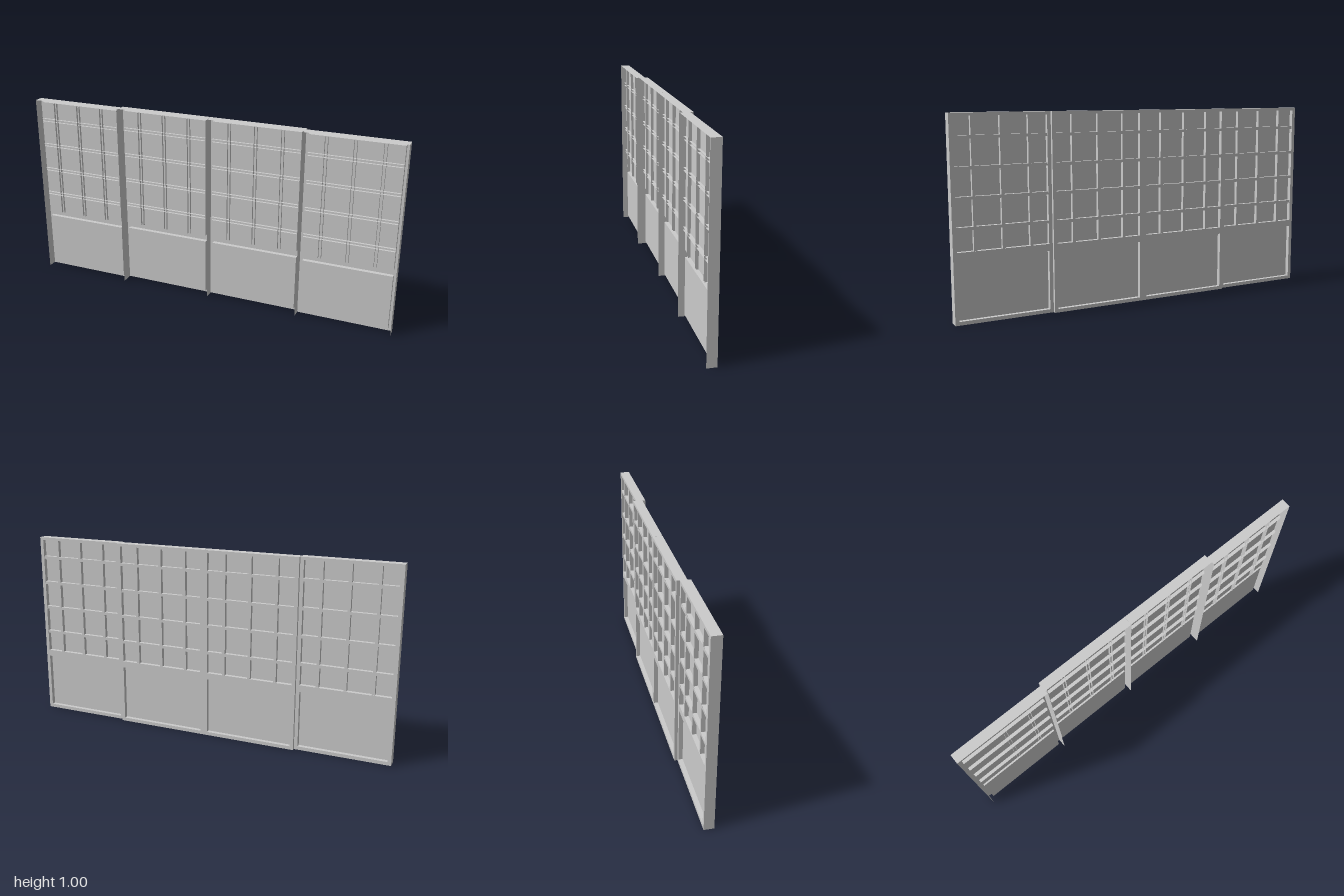
import * as THREE from 'three';

const material = new THREE.MeshStandardMaterial({ color: 0xcccccc, side: THREE.DoubleSide });

const DEPTH = 0.05;      // thickness of one sliding panel
const PANE_Z = 0.022;    // pane distance from the back face
const BAR_W = 0.015;
const BAR_BACK = 0.002;
const BAR_FRONT = 0.034;

function addMesh(parent, name, geometry, x = 0, y = 0, z = 0) {
  const mesh = new THREE.Mesh(geometry, material);
  mesh.name = name;
  mesh.position.set(x, y, z);
  parent.add(mesh);
  return mesh;
}

// Upright sheet in the yz plane, facing +x or -x
function sideWall(parent, name, x, y0, y1, z0, z1, facing) {
  const g = new THREE.PlaneGeometry(z1 - z0, y1 - y0).rotateY(facing * Math.PI / 2);
  addMesh(parent, name, g, x, (y0 + y1) / 2, (z0 + z1) / 2);
}

// Level sheet in the xz plane, facing up or down
function levelWall(parent, name, y, x0, x1, z0, z1, facing) {
  const g = new THREE.PlaneGeometry(x1 - x0, z1 - z0).rotateX(-facing * Math.PI / 2);
  addMesh(parent, name, g, (x0 + x1) / 2, y, (z0 + z1) / 2);
}

// Flat sheet facing the back
function backSheet(parent, name, r, z) {
  const g = new THREE.PlaneGeometry(r.x1 - r.x0, r.y1 - r.y0).rotateY(Math.PI);
  addMesh(parent, name, g, (r.x0 + r.x1) / 2, (r.y0 + r.y1) / 2, z);
}

function rectPath(path, r) {
  path.moveTo(r.x0, r.y0);
  path.lineTo(r.x1, r.y0);
  path.lineTo(r.x1, r.y1);
  path.lineTo(r.x0, r.y1);
  path.closePath();
  return path;
}

// Recessed pane with the four walls of its pocket
function recessedPane(parent, name, r) {
  const pane = new THREE.Group();
  pane.name = name;
  backSheet(pane, name + 'Sheet', r, PANE_Z);
  sideWall(pane, 'pocketSide', r.x0, r.y0, r.y1, 0, PANE_Z, 1);
  sideWall(pane, 'pocketSide', r.x1, r.y0, r.y1, 0, PANE_Z, -1);
  levelWall(pane, 'pocketBottom', r.y0, r.x0, r.x1, 0, PANE_Z, 1);
  levelWall(pane, 'pocketTop', r.y1, r.x0, r.x1, 0, PANE_Z, -1);
  parent.add(pane);
}

// One lattice panel, from its back face at z = 0
function makePanel(width) {
  const panel = new THREE.Group();
  const h = width / 2;
  const outer = { x0: -h, x1: h, y0: 0, y1: 1 };
  const win = { x0: -h + 0.019, x1: h - 0.019, y0: 0.35, y1: 0.985 };
  const low = { x0: win.x0, x1: win.x1, y0: 0.018, y1: 0.315 };

  // Back frame with window and lower opening
  const shape = rectPath(new THREE.Shape(), outer);
  for (const r of [win, low]) shape.holes.push(rectPath(new THREE.Path(), r));
  const frame = new THREE.ShapeGeometry(shape).rotateY(Math.PI);
  addMesh(panel, 'backFrame', frame);

  // Outer rim, open at the front and bottom
  sideWall(panel, 'frameSide', -h, 0, 1, 0, DEPTH, -1);
  sideWall(panel, 'frameSide', h, 0, 1, 0, DEPTH, 1);
  levelWall(panel, 'frameTop', 1, -h, h, 0, DEPTH, 1);

  recessedPane(panel, 'windowPane', win);
  recessedPane(panel, 'lowerPanel', low);

  // Lattice bars, open channels crossing the pane
  const b = BAR_W / 2;
  for (const x of [-0.14, 0, 0.14]) {
    backSheet(panel, 'uprightBar', { x0: x - b, x1: x + b, y0: win.y0, y1: win.y1 }, BAR_BACK);
    for (const s of [-1, 1])
      sideWall(panel, 'uprightBarSide', x + s * b, win.y0, win.y1, BAR_BACK, BAR_FRONT, s);
  }
  for (const y of [0.46, 0.603, 0.745, 0.888]) {
    backSheet(panel, 'crossBar', { x0: win.x0, x1: win.x1, y0: y - b, y1: y + b }, BAR_BACK - 0.0005);
    for (const s of [-1, 1])
      levelWall(panel, 'crossBarSide', y + s * b, win.x0, win.x1, BAR_BACK, BAR_FRONT, s);
  }
  return panel;
}

export function createModel() {
  const model = new THREE.Group();
  model.name = 'slidingLatticeScreen';
  // Outer panels run on the front track, inner panels on the rear one
  for (const side of [-1, 1]) {
    const outer = makePanel(0.498);
    outer.name = 'outerPanel';
    outer.position.set(side * 0.751, 0, -0.017);
    const inner = makePanel(0.502);
    inner.name = 'innerPanel';
    inner.position.set(side * 0.2515, 0, -0.033);
    model.add(outer, inner);
  }
  return model;
}
